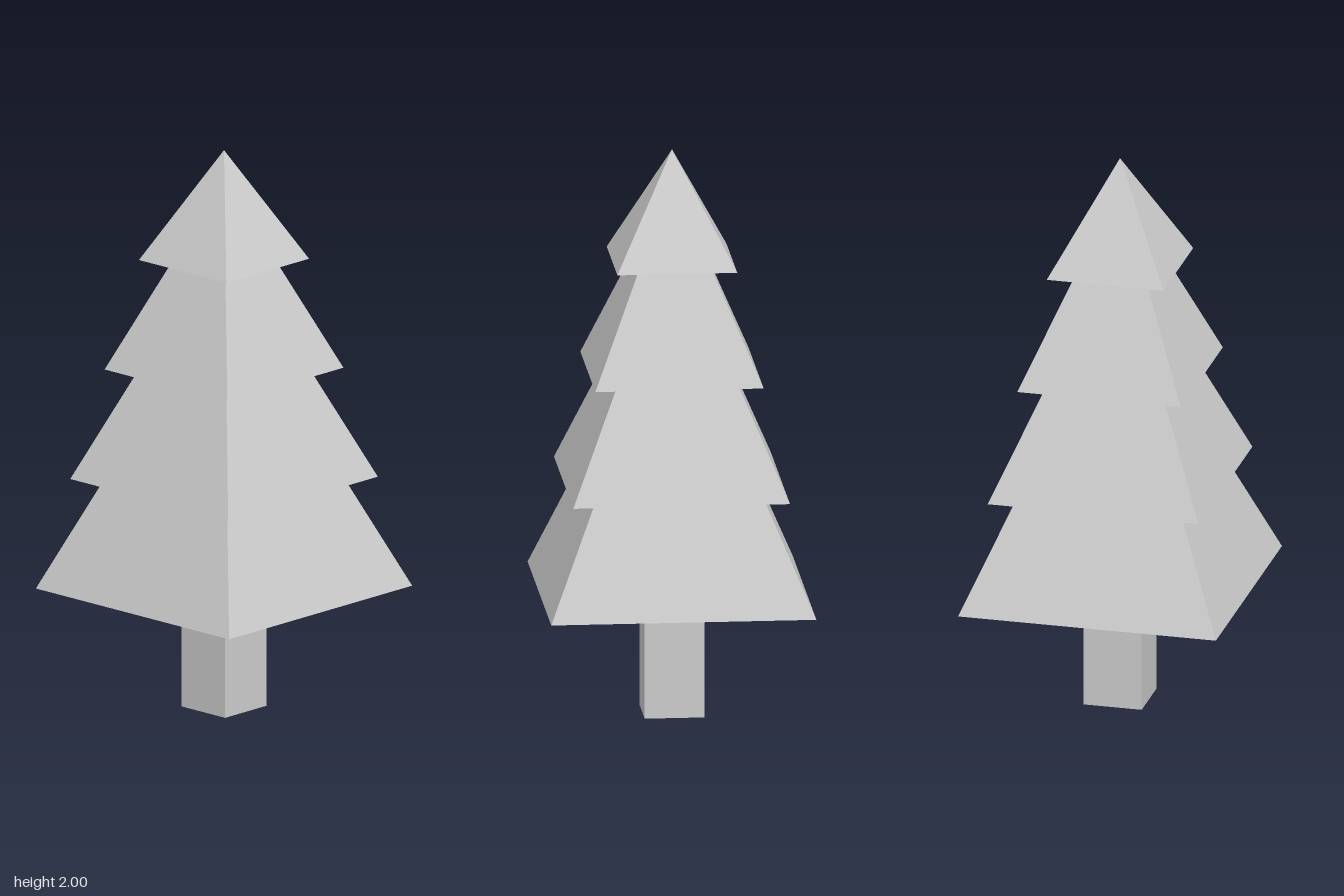
import * as THREE from 'three';

// Square frustum aligned with the axes, given half-widths and heights
function squareFrustum(bottomHalf, topHalf, y0, y1) {
  const geometry = new THREE.CylinderGeometry(
    topHalf * Math.SQRT2, bottomHalf * Math.SQRT2, y1 - y0, 4, 1, false, Math.PI / 4);
  return geometry.translate(0, (y0 + y1) / 2, 0);
}

export function createModel() {
  const tree = new THREE.Group();
  tree.name = 'pineTree';
  const material = new THREE.MeshStandardMaterial({ color: 0xcccccc, flatShading: true });

  function add(name, geometry) {
    const mesh = new THREE.Mesh(geometry, material);
    mesh.name = name;
    tree.add(mesh);
  }

  // Trunk
  const trunkHeight = 0.42;
  add('trunk', new THREE.BoxGeometry(0.208, trunkHeight, 0.208).translate(0, trunkHeight / 2, 0));

  // Stacked foliage tiers, each narrower than the one below; the last ends in a point
  const tiers = 4;
  const foliageBase = 0.428;
  const tierHeight = (2 - foliageBase) / tiers;
  for (let i = 0; i < tiers; i++) {
    const bottomHalf = 0.46 - i * 0.084;
    const topHalf = i === tiers - 1 ? 0 : bottomHalf - 0.168;
    const y = foliageBase + i * tierHeight;
    add(`foliageTier${i + 1}`, squareFrustum(bottomHalf, topHalf, y, y + tierHeight));
  }

  return tree;
}
